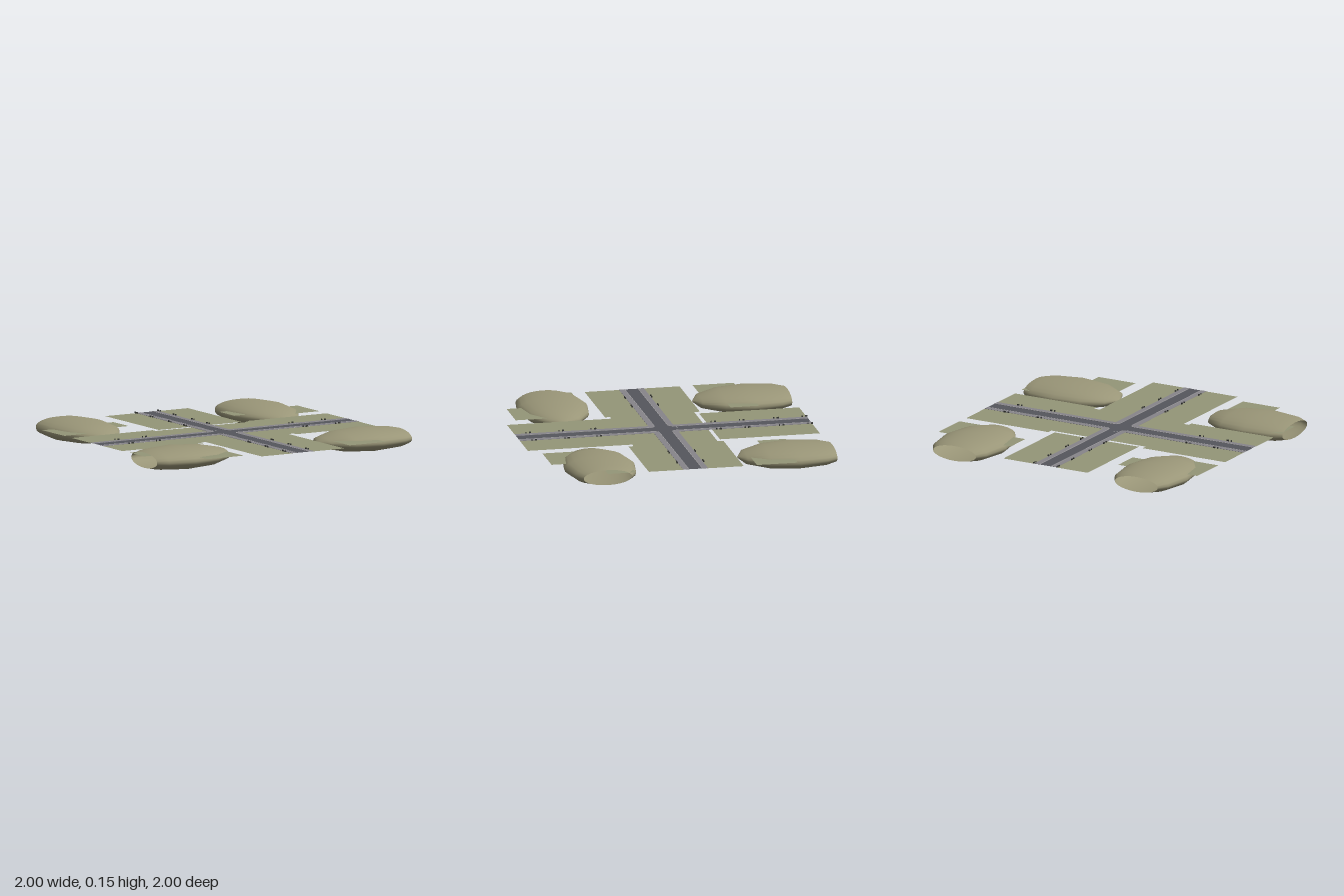
import * as THREE from 'three';

const DECK = 0.107; // level of the ground sheet
const material = (color) => new THREE.MeshStandardMaterial({ color, side: THREE.DoubleSide });

export function createModel() {
  const root = new THREE.Group();
  const grass = material(0x949678);
  const hillGrass = material(0x9a9678);
  const asphalt = material(0x55565d);
  const paving = material(0x87858a);
  const kerbStone = material(0xa09fa0);
  const dark = material(0x3c3d3a);

  const add = (name, geometry, mat) => {
    const mesh = new THREE.Mesh(geometry, mat);
    mesh.name = name;
    root.add(mesh);
    return mesh;
  };

  // Flat rectangle between two corners, facing up
  const sheet = (name, x0, x1, z0, z1, y, mat) => {
    const g = new THREE.PlaneGeometry(Math.abs(x1 - x0), Math.abs(z1 - z0)).rotateX(-Math.PI / 2);
    g.translate((x0 + x1) / 2, y, (z0 + z1) / 2);
    return add(name, g, mat);
  };

  // Grass: a full centre piece and two strips beside the road on each arm
  const low = DECK - 0.002;
  sheet('centreGrass', -0.365, 0.365, -0.29, 0.285, low, grass);
  for (const s of [-1, 1]) {
    for (const e of [-1, 1]) {
      sheet('sideArmGrass', s * 0.365, s, e * 0.08, e < 0 ? -0.33 : 0.32, low, grass);
      sheet('lengthArmGrass', e * 0.08, e * 0.325, s < 0 ? -0.315 : 0.285, s, low, grass);
    }
  }

  // Crossing roads, the second one in two halves
  const roadY = DECK - 0.001;
  sheet('crossRoad', -1, 1, -0.08, 0.08, roadY, asphalt);
  for (const s of [-1, 1]) sheet('lengthRoad', -0.08, 0.08, s * 0.08, s, roadY, asphalt);
  sheet('stopLine', -0.043, 0, -0.099, -0.094, DECK - 0.0005, kerbStone);

  // L-shaped band with a rounded road corner, one per quadrant
  const cornerBand = (name, sx, sz, inner, outer, round, top, mat) => {
    const r = 0.045;
    const s = new THREE.Shape();
    s.moveTo(sx * inner, sz);
    s.lineTo(sx * inner, sz * (inner + r));
    s.quadraticCurveTo(sx * inner, sz * inner, sx * (inner + r), sz * inner);
    s.lineTo(sx, sz * inner);
    s.lineTo(sx, sz * outer);
    if (round) {
      s.lineTo(sx * (inner + r), sz * outer);
      s.quadraticCurveTo(sx * outer, sz * outer, sx * outer, sz * (inner + r));
    } else {
      s.lineTo(sx * outer, sz * outer);
    }
    s.lineTo(sx * outer, sz);
    const g = new THREE.ExtrudeGeometry(s, { depth: 0.0015, bevelEnabled: false, curveSegments: 8 });
    add(name, g.rotateX(Math.PI / 2).translate(0, top, 0), mat);
  };
  for (const sx of [-1, 1]) {
    for (const sz of [-1, 1]) {
      cornerBand('pavement', sx, sz, 0.043, 0.085, false, DECK + 0.0005, paving);
      cornerBand('kerb', sx, sz, 0.043, 0.047, true, DECK + 0.001, kerbStone);
    }
  }

  // Small street fittings in pairs along the outer edge of the pavements
  const fitting = (x, z, alongX) => {
    const pair = new THREE.Group();
    pair.name = 'streetFitting';
    for (const [offset, length] of [[-0.015, 0.006], [0.012, 0.014]]) {
      const box = new THREE.Mesh(new THREE.BoxGeometry(length, 0.01, 0.007), dark);
      box.name = 'fittingBox';
      box.position.x = offset;
      pair.add(box);
    }
    pair.position.set(x, DECK + 0.004, z);
    if (!alongX) pair.rotation.y = Math.PI / 2;
    root.add(pair);
  };
  for (const s of [-1, 1]) {
    for (const z of [-0.985, -0.79, -0.555, -0.36, 0.46, 0.68, 0.905]) fitting(s * 0.09, z, false);
    for (const x of [-0.79, -0.575, 0.575, 0.83]) fitting(x, s * 0.09, true);
  }

  // Hills: flattened hollow domes, pointed inwards and cut open at the outer edge
  const profile = [-90, -60, -30, 0, 30].map((deg) => {
    const a = THREE.MathUtils.degToRad(deg);
    return new THREE.Vector2(Math.max(0, 0.242 * Math.cos(a)), 0.387 * Math.sin(a));
  });
  profile.push(new THREE.Vector2(0.166, 0.265));
  const hill = (x, z, turn) => {
    const g = new THREE.LatheGeometry(profile, 24).rotateX(-Math.PI / 2);
    g.scale(1, 0.076 / 0.242, 1);
    const mesh = add('hill', g, hillGrass);
    mesh.position.set(x, 0.082, z);
    mesh.rotation.y = turn;
  };

  // Hills and the loose lawn patches around them
  for (const s of [-1, 1]) {
    hill(s * 0.702, -0.735, 0);
    hill(s * 0.735, 0.6, -s * Math.PI / 2);
    sheet('backOuterLawn', s * 0.7, s, -0.7, -0.42, DECK, grass);
    sheet('backInnerLawn', s * 0.415, s * 0.7, -0.745, -0.55, DECK, grass);
    sheet('frontInnerLawn', s * 0.415, s * 0.7, 0.6, 0.92, DECK, grass);
    sheet('frontOuterLawn', s * 0.7, s, 0.41, 0.6, DECK, grass);
  }

  return root;
}
